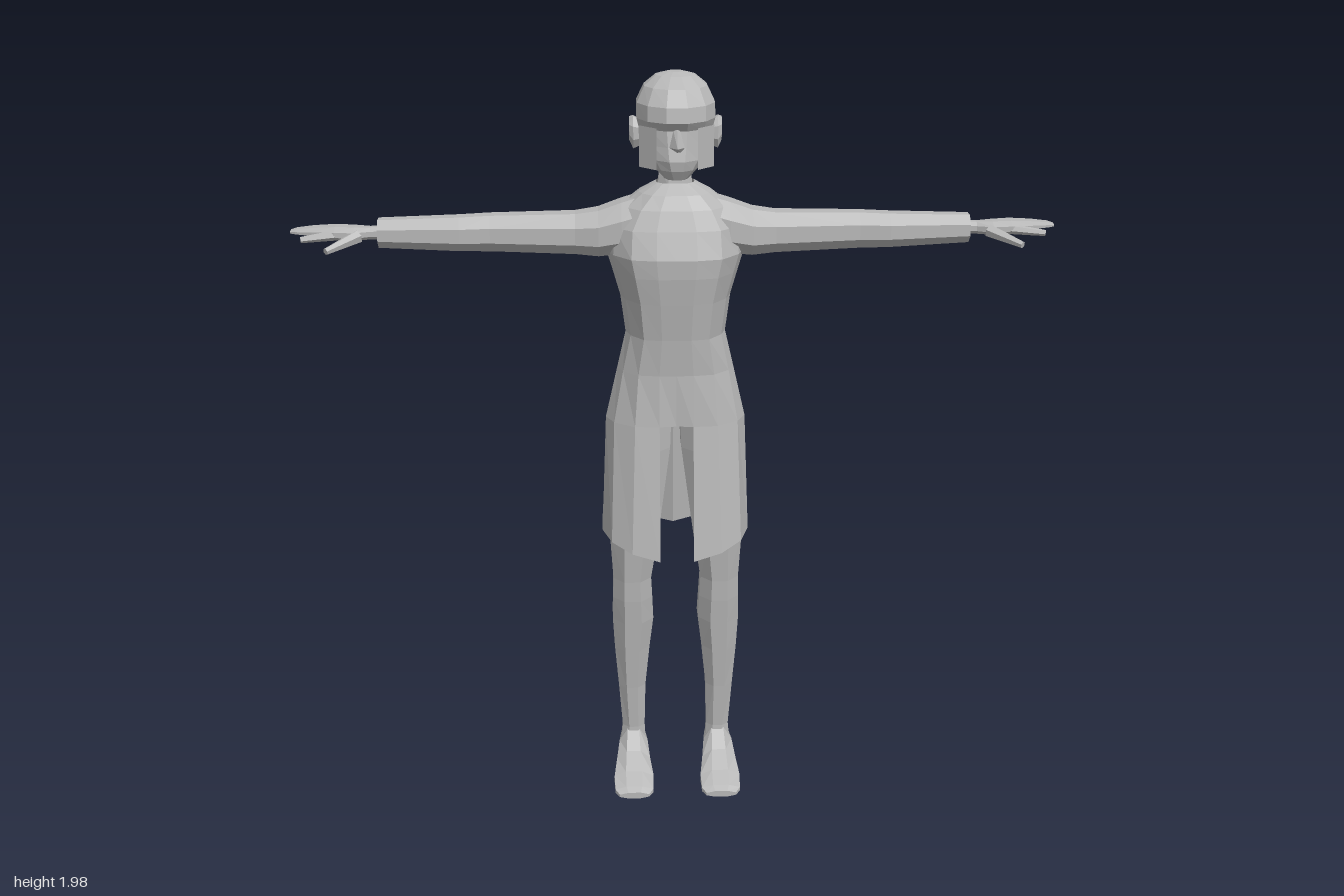
import * as THREE from 'three';

const grey = new THREE.MeshStandardMaterial({ color: 0xb8b8b8, side: THREE.DoubleSide });

// Skin rows of points into a faceted surface; skip(row, column) leaves openings
function skin(rows, closed, caps, skip = () => false) {
  const pos = [];
  const tri = (...pts) => pts.forEach(p => pos.push(p[0], p[1], p[2]));
  const n = rows[0].length, last = closed ? n : n - 1;
  for (let r = 0; r < rows.length - 1; r++) {
    for (let i = 0; i < last; i++) {
      if (skip(r, i)) continue;
      const j = (i + 1) % n, A = rows[r], B = rows[r + 1];
      tri(A[i], A[j], B[j]);
      tri(A[i], B[j], B[i]);
    }
  }
  if (caps) {
    for (const ring of [rows[0], rows[rows.length - 1]]) {
      for (let i = 1; i < n - 1; i++) tri(ring[0], ring[i], ring[i + 1]);
    }
  }
  const g = new THREE.BufferGeometry();
  g.setAttribute('position', new THREE.Float32BufferAttribute(pos, 3));
  g.computeVertexNormals();
  return g;
}

// Loft along an axis; each section is [t, a0, a1, b0, b1], the extents across
function loft(axis, sections, n = 8) {
  const k = 1 / Math.cos(Math.PI / n);
  const rows = sections.map(([t, a0, a1, b0, b1]) =>
    Array.from({ length: n }, (_, i) => {
      const w = ((i + 0.5) / n) * Math.PI * 2;
      const a = (a0 + a1) / 2 + ((a1 - a0) / 2) * k * Math.cos(w);
      const b = (b0 + b1) / 2 + ((b1 - b0) / 2) * k * Math.sin(w);
      return axis === 'y' ? [a, t, b] : axis === 'x' ? [t, a, b] : [a, b, t];
    }));
  return skin(rows, true, true);
}

// Tapered finger between two points
function finger(from, to, r0, r1) {
  const a = new THREE.Vector3(...from), b = new THREE.Vector3(...to);
  const d = b.clone().sub(a);
  const g = new THREE.CylinderGeometry(r1, r0, d.length(), 6).toNonIndexed();
  g.applyQuaternion(new THREE.Quaternion().setFromUnitVectors(new THREE.Vector3(0, 1, 0), d.normalize()));
  g.translate((a.x + b.x) / 2, (a.y + b.y) / 2, (a.z + b.z) / 2);
  g.computeVertexNormals();
  return g;
}

export function createModel() {
  const model = new THREE.Group();
  const add = (name, geo, parent = model) => {
    const m = new THREE.Mesh(geo, grey);
    m.name = name;
    parent.add(m);
    return m;
  };

  // Tunic: half outlines [x, z] from front centre to back centre
  const waist = [[0, .09], [.045, .09], [.1, .08], [.14, .04], [.155, 0], [.15, -.05], [.1, -.1], [.05, -.12], [0, -.115]];
  const hip = [[0, .09], [.045, .095], [.11, .09], [.165, .05], [.187, 0], [.18, -.075], [.11, -.14], [.05, -.15], [0, -.13]];
  const hem = [[0, .14], [.045, .14], [.12, .13], [.175, .09], [.2, 0], [.2, -.09], [.125, -.175], [.05, -.195], [0, -.175]];
  const hemY = [.69, .69, .71, .73, .73, .73, .7, .685, .68];
  // Upper rows: [y, half width, front, back]
  const upper = [
    [1.7, .05, .03, -.065], [1.675, .095, .065, -.09], [1.64, .14, .085, -.098], [1.59, .175, .105, -.1],
    [1.52, .18, .128, -.105], [1.47, .165, .125, -.105], [1.4, .145, .115, -.102], [1.3, .132, .1, -.102]
  ].map(([y, w, f, b]) => waist.map(([x, z]) => [x / .155 * w, y, z > 0 ? z / .09 * f : -z / .12 * b]));
  const lower = [
    waist.map(([x, z]) => [x, 1.2, z]),
    hip.map(([x, z]) => [x, 1.06, z]),
    hem.map(([x, z], i) => [x, hemY[i], z])
  ];
  const half = [...upper, ...lower];
  const rows = half.map(h => [...h, ...h.slice(1, -1).reverse().map(([x, y, z]) => [-x, y, z])]);
  const cols = rows[0].length, slitRow = rows.length - 2;
  add('tunic', skin(rows, true, false, (r, i) => r === slitRow && (i === 0 || i === cols - 1)));

  // Neck and head
  add('neck', loft('y', [
    [1.64, -.07, .07, -.08, .04], [1.69, -.045, .045, -.065, .01],
    [1.73, -.04, .04, -.05, .005], [1.79, -.045, .045, -.06, .02]
  ]));
  add('head', loft('y', [
    [1.725, -.03, .03, .03, .11], [1.75, -.055, .055, -.02, .125], [1.775, -.073, .073, -.075, .13],
    [1.81, -.085, .085, -.093, .122], [1.85, -.095, .095, -.108, .116], [1.872, -.1, .1, -.111, .133],
    [1.91, -.099, .099, -.112, .128], [1.95, -.08, .08, -.085, .095],
    [1.975, -.05, .05, -.05, .05], [1.983, -.02, .02, -.02, .02]
  ], 12));
  add('nose', skin([
    [[-.01, 1.855, .113], [0, 1.855, .122], [.01, 1.855, .113]],
    [[-.022, 1.81, .118], [0, 1.812, .153], [.022, 1.81, .118]],
    [[-.012, 1.797, .118], [0, 1.797, .122], [.012, 1.797, .118]]
  ], false, false));

  // Paired parts, made on the left and mirrored
  for (const s of [1, -1]) {
    const side = new THREE.Group();
    side.name = s > 0 ? 'leftSide' : 'rightSide';
    side.scale.x = s;
    model.add(side);

    add('ear', loft('x', [[.085, 1.8, 1.86, -.005, .03], [.108, 1.79, 1.872, -.014, .034], [.118, 1.81, 1.868, -.016, .026]]), side);
    add('cheekPanel', skin([
      [[.052, 1.86, .127], [.095, 1.86, .08]],
      [[.052, 1.755, .127], [.095, 1.755, .08]]
    ], false, false), side);

    add('sleeve', loft('x', [
      [.08, 1.53, 1.668, -.085, .07], [.14, 1.515, 1.65, -.085, .07], [.2, 1.508, 1.628, -.08, .062],
      [.26, 1.512, 1.618, -.074, .045], [.48, 1.52, 1.614, -.066, .032],
      [.56, 1.522, 1.611, -.06, .035], [.77, 1.532, 1.605, -.052, .025]
    ]), side);
    add('hand', loft('x', [
      [.74, 1.552, 1.588, -.034, .008], [.79, 1.553, 1.585, -.032, .008], [.83, 1.552, 1.588, -.045, .03],
      [.88, 1.556, 1.588, -.06, .028], [.94, 1.56, 1.582, -.07, .008],
      [.985, 1.562, 1.576, -.066, -.012], [1, 1.564, 1.572, -.055, -.022]
    ]), side);
    add('indexFinger', finger([.87, 1.57, .014], [.965, 1.562, .034], .014, .008), side);
    add('thumb', finger([.82, 1.566, .018], [.895, 1.544, .088], .018, .009), side);

    add('leg', loft('y', [
      [1.1, .01, .15, -.09, .07], [.98, .015, .17, -.09, .08], [.73, .048, .18, -.062, .085],
      [.6, .068, .172, -.05, .07], [.54, .065, .174, -.06, .066], [.47, .062, .175, -.078, .058],
      [.38, .073, .17, -.07, .048], [.26, .085, .16, -.048, .035],
      [.13, .088, .15, -.035, .024], [.08, .085, .155, -.04, .025]
    ]), side);
    add('foot', loft('z', [
      [-.05, .092, .15, 0, .07], [-.035, .085, .155, 0, .115], [.02, .08, .16, 0, .122],
      [.07, .074, .168, 0, .078], [.13, .066, .176, 0, .046],
      [.18, .068, .174, 0, .027], [.198, .08, .162, 0, .018]
    ]), side);
  }
  return model;
}
